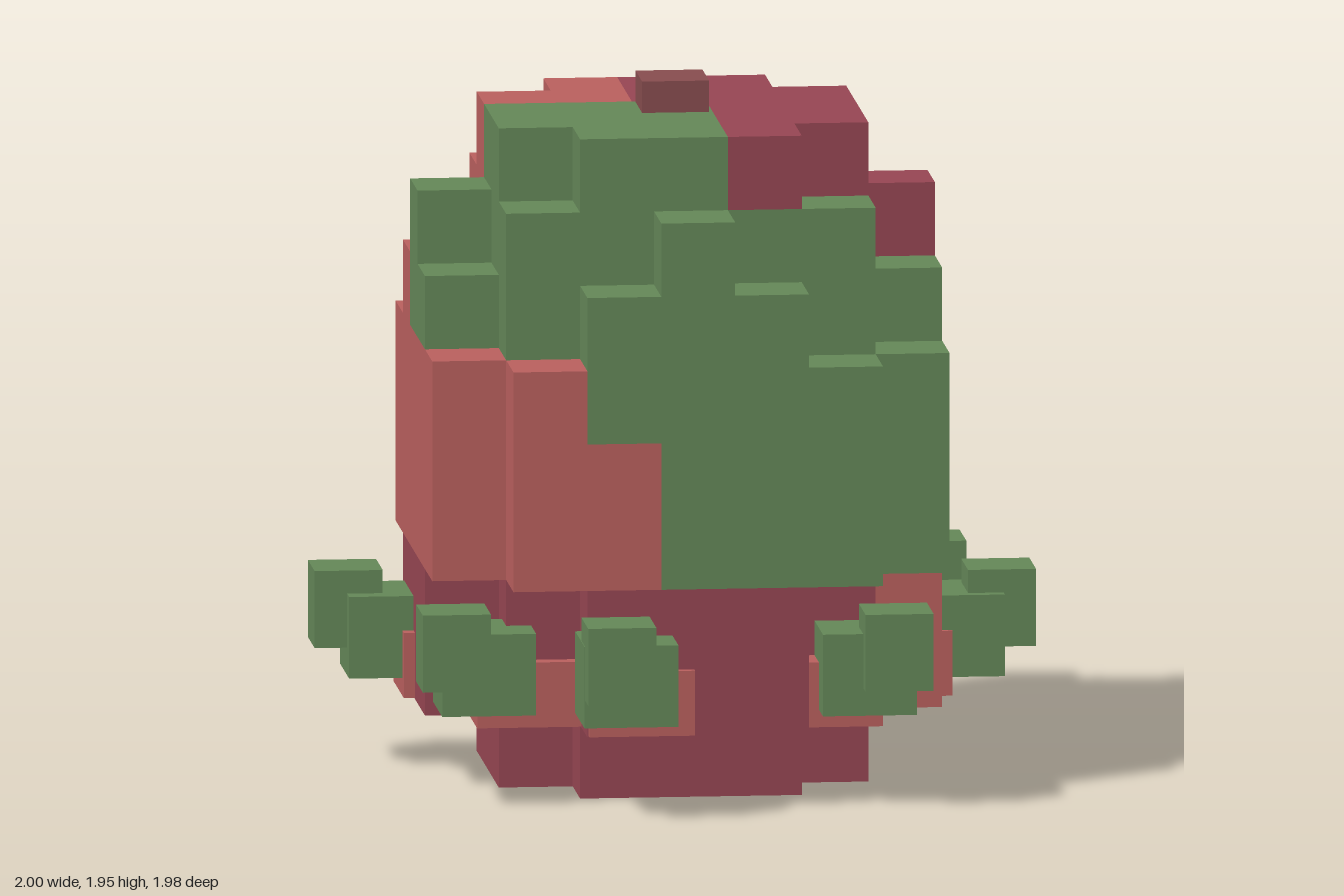
import * as THREE from 'three';
import { mergeGeometries } from 'three/addons/utils/BufferGeometryUtils.js';

const material = (name, color) => {
  const m = new THREE.MeshStandardMaterial({ color });
  m.name = name;
  return m;
};
const materials = {
  green: material('leaf green', 0x638657),
  salmon: material('salmon red', 0xb85f5d),
  maroon: material('maroon', 0x954552),
  stem: material('stem brown', 0x864c4e),
};

const S = 0.2063;               // block size
const CX = -0.0075, CZ = 0.01;  // centre of the body
const RING = [-1, 1, 1, 2, 2, 2, 1, 0, -1]; // reach of the outer ring on each layer

// Is there a block at column i, layer j, row k?
function filled(i, j, k) {
  if (j < 0 || j > 8) return false;
  const a = Math.max(Math.abs(i), Math.abs(k)), b = Math.min(Math.abs(i), Math.abs(k));
  if (a > 3) return false;
  if (a === 3) return b <= RING[j];
  return !(RING[j] < 0 && b === 2); // end layers lose their corners
}

// Patches of skin colour
function skin(i, j, k) {
  if (j === 0) return k <= 0 && i >= -1 ? 'salmon' : 'maroon';
  if (j <= 2) return k <= 1 && i >= -1 ? 'salmon' : 'maroon';
  if (j <= 5) {
    if (i === -3 || k === -3) return 'salmon';
    if (k === 3) return i <= (j === 5 ? -2 : -1) ? 'salmon' : 'green';
    return k >= 2 || (k === 1 && j > 3) ? 'green' : 'maroon';
  }
  if (k < 0) return i >= 0 ? 'maroon' : 'salmon';
  if (j === 8) return i >= 1 ? 'maroon' : 'green';
  return k >= 1 || i < 0 ? 'green' : 'maroon';
}

// Outward block sides: direction, then the turn of a +z plane
const SIDES = [
  [0, 0, 1, 0, 0], [0, 0, -1, 0, Math.PI],
  [1, 0, 0, 0, Math.PI / 2], [-1, 0, 0, 0, -Math.PI / 2],
  [0, 1, 0, -Math.PI / 2, 0], [0, -1, 0, Math.PI / 2, 0],
];

function createBody() {
  const faces = { green: [], salmon: [], maroon: [] };
  for (let j = 0; j < 9; j++)
    for (let i = -3; i <= 3; i++)
      for (let k = -3; k <= 3; k++) {
        if (!filled(i, j, k)) continue;
        for (const [dx, dy, dz, rx, ry] of SIDES) {
          if (filled(i + dx, j + dy, k + dz)) continue;
          const g = new THREE.PlaneGeometry(S, S);
          g.rotateX(rx).rotateY(ry);
          g.translate(CX + (i + dx / 2) * S, (j + 0.5 + dy / 2) * S, CZ + (k + dz / 2) * S);
          faces[skin(i, j, k)].push(g);
        }
      }
  const body = new THREE.Group();
  body.name = 'body';
  for (const [color, list] of Object.entries(faces)) {
    const mesh = new THREE.Mesh(mergeGeometries(list), materials[color]);
    mesh.name = color + 'Skin';
    body.add(mesh);
  }
  return body;
}

function block(name, mat, w, y0, y1, x, z) {
  const mesh = new THREE.Mesh(new THREE.BoxGeometry(w, y1 - y0, w), mat);
  mesh.position.set(x, (y0 + y1) / 2, z);
  mesh.name = name;
  return mesh;
}

// Curled leaf: three blocks stepping outwards and up; x, z is the tip
function createLeaf(x, z) {
  const leaf = new THREE.Group();
  leaf.name = 'leaf';
  leaf.add(
    block('leafBase', materials.salmon, 0.295, 0.21, 0.393, x * 0.678, z * 0.678),
    block('leafMiddle', materials.green, 0.262, 0.26, 0.49, x * 0.86, z * 0.86),
    block('leafTip', materials.green, 0.19, 0.338, 0.555, x, z),
  );
  return leaf;
}

export function createModel() {
  const model = new THREE.Group();
  model.name = 'blockyFruit';
  model.add(createBody());
  model.add(block('stem', materials.stem, 0.187, 9 * S - 0.01, 1.945, -0.008, 0.008));

  // Ring of leaves around the base
  const tips = [
    [-0.43, -0.803], [0.07, -0.895], [0.757, -0.48], [0.903, 0.01],
    [0.545, 0.735], [-0.245, 0.892], [-0.68, 0.625], [-0.905, -0.15],
  ];
  for (const [x, z] of tips) model.add(createLeaf(x, z));
  return model;
}
